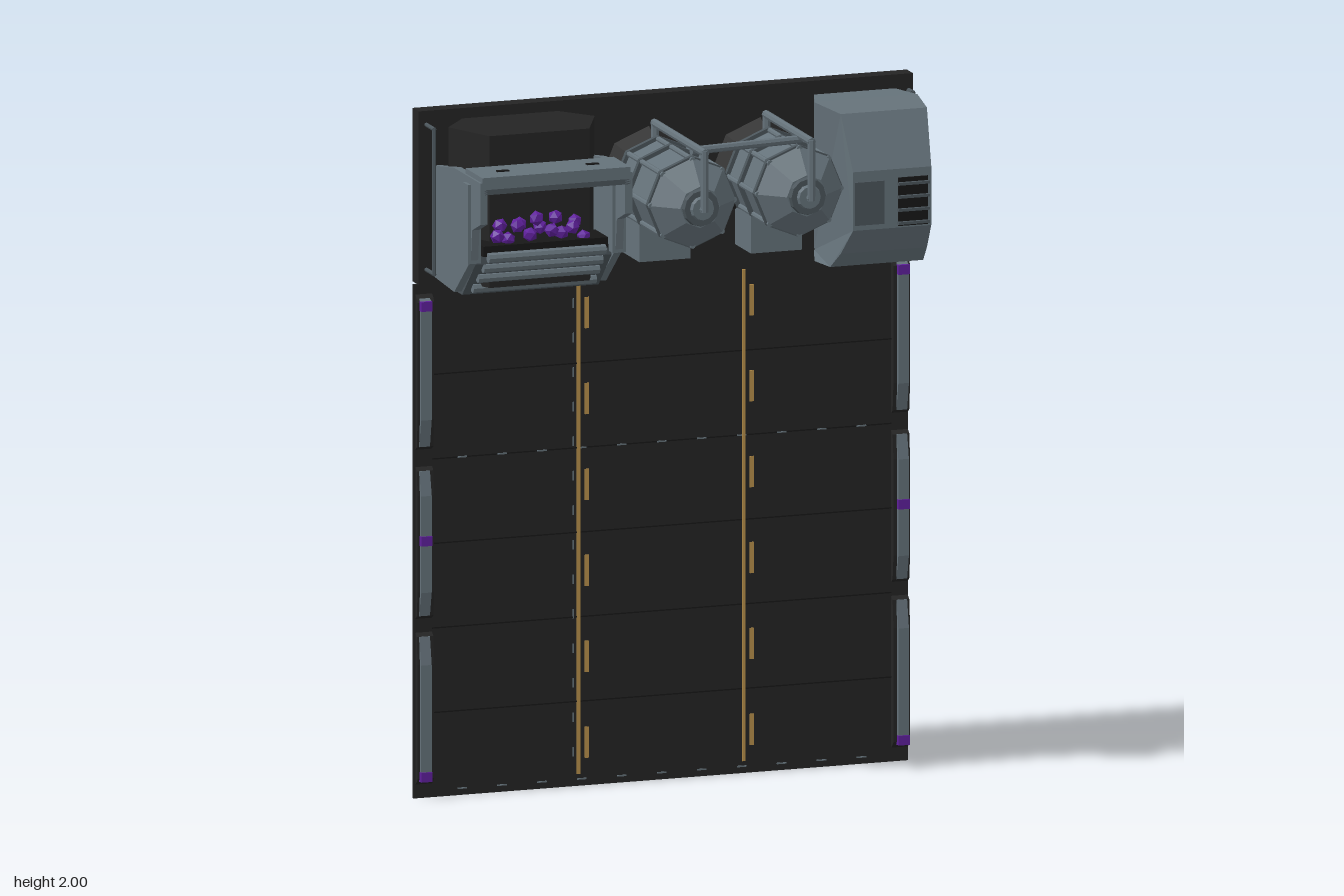
import * as THREE from 'three';

export function createModel() {
  const root = new THREE.Group();
  const mat = (name, color) => {
    const m = new THREE.MeshStandardMaterial({ color });
    m.name = name;
    return m;
  };
  const dark = mat('charcoal', 0x242424);
  const seam = mat('seam black', 0x171717);
  const steel = mat('steel grey', 0x65727a);
  const slate = mat('slate grey', 0x4b555b);
  const gold = mat('gold paint', 0xb8904a);
  const purple = mat('purple glow', 0x5f209c);

  const add = (name, geo, m, parent = root) => {
    const mesh = new THREE.Mesh(geo.index ? geo.toNonIndexed() : geo, m);
    mesh.geometry.computeVertexNormals();
    mesh.name = name;
    parent.add(mesh);
    return mesh;
  };
  // box given by its limits on each axis
  const box = (name, m, x0, x1, y0, y1, z0, z1, parent = root) => {
    const g = new THREE.BoxGeometry(x1 - x0, y1 - y0, z1 - z0);
    g.translate((x0 + x1) / 2, (y0 + y1) / 2, (z0 + z1) / 2);
    return add(name, g, m, parent);
  };
  // side outline of [z, y] points extruded across x
  const sideProfile = (pts, x, w) => {
    const shape = new THREE.Shape(pts.map(p => new THREE.Vector2(p[0], p[1])));
    const g = new THREE.ExtrudeGeometry(shape, { depth: w, bevelEnabled: false });
    g.rotateY(-Math.PI / 2);
    g.translate(x + w / 2, 0, 0);
    return g;
  };
  // faceted drum along z, radius r0 at the back and r1 at the front
  const drum = (name, m, x, y, z0, z1, r0, r1, parent, sides = 8) => {
    const g = new THREE.CylinderGeometry(r1, r0, z1 - z0, sides);
    g.rotateX(Math.PI / 2);
    g.translate(x, y, (z0 + z1) / 2);
    return add(name, g, m, parent);
  };
  // round pipe through straight runs
  const pipe = (name, m, pts, r, parent) => {
    const path = new THREE.CurvePath();
    const v = pts.map(p => new THREE.Vector3(...p));
    for (let i = 1; i < v.length; i++) {
      const a = v[i - 1], b = v[i], len = a.distanceTo(b);
      const g = new THREE.CylinderGeometry(r, r, len + r, 8);
      const mesh = add(name, g, m, parent);
      mesh.position.copy(a).lerp(b, 0.5);
      mesh.quaternion.setFromUnitVectors(new THREE.Vector3(0, 1, 0), b.clone().sub(a).normalize());
    }
  };

  // main panels
  const F = -0.257; // front face of the floor panel
  box('floorPanel', dark, -0.745, 0.74, 0, 1.489, -0.265, F);
  box('headPanel', dark, -0.745, 0.74, 1.497, 2, -0.265, -0.215);

  // floor markings
  const marks = new THREE.Group();
  marks.name = 'floorMarkings';
  root.add(marks);
  for (let i = 1; i < 6; i++) {
    const y = i * 0.245;
    box('panelSeam', seam, -0.69, 0.69, y - 0.002, y + 0.002, F, F + 0.001, marks);
  }
  for (const [x, dx] of [[-0.25, -0.225], [0.246, 0.27]]) {
    box('laneLine', gold, x - 0.005, x + 0.005, 0.035, 1.46, F, F + 0.004, marks);
    for (let i = 0; i < 6; i++) {
      const y = 0.125 + i * 0.249;
      box('laneDash', gold, dx - 0.006, dx + 0.006, y - 0.045, y + 0.045, F, F + 0.004, marks);
    }
  }
  for (const y of [0.02, 0.98])
    for (let x = -0.6; x < 0.65; x += 0.12)
      box('greyDash', steel, x - 0.014, x + 0.014, y - 0.002, y + 0.002, F, F + 0.003, marks);
  for (let y = 0.1; y < 1.45; y += 0.1)
    box('greyDash', steel, -0.267, -0.264, y - 0.014, y + 0.014, F, F + 0.003, marks);

  // side rails with sloped ends and glowing lamps
  for (const s of [-1, 1]) {
    const side = new THREE.Group();
    side.name = s > 0 ? 'leftRails' : 'rightRails';
    root.add(side);
    const rails = [[0.05, 0.47, 0.01, 0.08], [0.53, 0.95, 0.07, 0.07], [1.02, 1.45, 0.08, 0.01]];
    for (const [y0, y1, a, b] of rails) {
      add('railBase', sideProfile([[F, y0 - 0.01], [F, y1 + 0.01], [-0.245, y1], [-0.238, y1 - b],
        [-0.238, y0 + a], [-0.245, y0]], s * 0.715, 0.05), dark, side);
      add('railCap', sideProfile([[-0.25, y0], [-0.25, y1], [-0.243, y1], [-0.228, y1 - b],
        [-0.228, y0 + a], [-0.243, y0]], s * 0.717, 0.032), steel, side);
    }
    for (const y of [0.066, 0.75, 1.43])
      box('railLamp', purple, s * 0.717 - 0.017, s * 0.717 + 0.017, y - 0.014, y + 0.014, -0.25, -0.223, side);
  }

  // crystal hopper
  const hopper = new THREE.Group();
  hopper.name = 'hopper';
  root.add(hopper);
  const hex = new THREE.Shape([[-0.61, 0.22], [-0.33, 0.22], [-0.25, 0.12], [-0.32, -0.03],
    [-0.62, -0.03], [-0.69, 0.12]].map(p => new THREE.Vector2(...p)));
  const bin = new THREE.ExtrudeGeometry(hex, { depth: 0.44, bevelEnabled: false });
  bin.rotateX(-Math.PI / 2);
  bin.translate(0, 1.53, 0);
  add('hopperBin', bin, dark, hopper);
  const cheek = [[-0.215, 1.52], [-0.04, 1.51], [0.1, 1.63], [0.11, 1.72], [0.18, 1.75],
    [0.18, 1.87], [-0.04, 1.87], [-0.215, 1.84]];
  for (const x of [-0.69, -0.255]) {
    add('hopperCheek', sideProfile(cheek, x, 0.022), steel, hopper);
    box('hopperPost', steel, x - 0.02, x + 0.02, 1.62, 1.85, 0.06, 0.1, hopper);
  }
  box('hopperHood', steel, -0.695, -0.25, 1.85, 1.885, 0.04, 0.18, hopper);
  box('hoodLip', slate, -0.695, -0.25, 1.835, 1.85, 0.155, 0.18, hopper);
  for (const x of [-0.61, -0.34])
    box('hoodSlot', seam, x - 0.018, x + 0.018, 1.885, 1.888, 0.105, 0.12, hopper);
  add('hopperChute', sideProfile([[-0.2, 1.5], [-0.04, 1.5], [0.07, 1.61], [0.07, 1.64], [-0.2, 1.64]],
    -0.472, 0.41), slate, hopper);
  for (let i = 0; i < 4; i++) {
    const y = 1.525 + i * 0.036;
    pipe('chuteBar', steel, [[-0.65 + i * 0.003, y, -0.01 + i * 0.036], [-0.295 - i * 0.003, y, -0.01 + i * 0.036]], 0.015, hopper);
  }
  box('crystalBed', seam, -0.66, -0.285, 1.635, 1.665, -0.02, 0.09, hopper);
  for (let i = 0; i < 14; i++) {
    const c = add('crystal', new THREE.IcosahedronGeometry(0.022, 0), purple, hopper);
    c.position.set(-0.615 + i * 0.0205, 1.69 + 0.024 * Math.sin(i * 2.3) + 0.018 * Math.sin(i * 0.25),
      0.06 + 0.022 * Math.cos(i * 2.3));
    c.rotation.set(i, i * 1.7, i * 0.6);
  }
  pipe('rightHandle', slate, [[-0.722, 1.96, -0.215], [-0.722, 1.96, -0.15], [-0.722, 1.54, -0.15], [-0.722, 1.54, -0.215]], 0.006, hopper);

  // twin pressure drums with overhead pipes
  for (const [x, front] of [[-0.053, 0.15], [0.282, 0.11]]) {
    const g = new THREE.Group();
    g.name = 'pressureDrum';
    root.add(g);
    const y = 1.76;
    drum('drumMount', dark, x, y, -0.217, -0.14, 0.148, 0.105, g);
    drum('drumBody', steel, x, y, -0.15, front, 0.122, 0.122, g);
    for (const z of [-0.15, -0.04, front - 0.02])
      drum('drumBand', slate, x, y, z, z + 0.015, 0.134, 0.134, g);
    for (let i = 0; i < 8; i++) {
      const a = i * Math.PI / 4, px = x + 0.125 * Math.cos(a), py = y + 0.125 * Math.sin(a);
      pipe('drumRib', steel, [[px, py, -0.145], [px, py, front]], 0.008, g);
    }
    drum('drumNose', steel, x, y, front, front + 0.065, 0.13, 0.06, g);
    drum('noseStep', slate, x, y, front + 0.065, front + 0.08, 0.055, 0.052, g, 12);
    drum('noseCap', steel, x, y, front + 0.08, front + 0.092, 0.036, 0.032, g, 12);
    pipe('feedPipe', steel, [[x, y, front + 0.08], [x, y, front + 0.102], [x, 1.925, front + 0.102], [x, 1.925, -0.165]], 0.012, g);
    pipe('feedReturn', steel, [[x, 1.925, -0.165], [x, 1.86, -0.165]], 0.012, g);
    box('drumFoot', steel, x - 0.077, x + 0.077, 1.545, 1.66, -0.217, -0.08, g);
    box('footSlot', seam, x - 0.035, x + 0.035, 1.627, 1.637, -0.08, -0.077, g);
  }
  pipe('crossPipe', steel, [[-0.053, 1.912, 0.155], [0.282, 1.912, 0.115]], 0.012, root);

  // generator housing, its width swelling with depth
  const gen = new THREE.Group();
  gen.name = 'generator';
  root.add(gen);
  const shell = sideProfile([[-0.217, 1.51], [-0.12, 1.5], [-0.03, 1.5], [0.03, 1.55], [0.1, 1.63], [0.1, 1.8],
    [0.03, 1.955], [-0.12, 1.96], [-0.217, 1.96]], 0, 2);
  const p = shell.attributes.position;
  for (let i = 0; i < p.count; i++) {
    const z = p.getZ(i);
    const half = z < -0.12 ? 0.155 + (z + 0.12) * 0.35 : 0.155 - (z + 0.12) * 0.17;
    p.setX(i, 0.565 + Math.sign(p.getX(i)) * half);
  }
  add('generatorShell', shell, steel, gen);
  box('accessDoor', slate, 0.452, 0.54, 1.645, 1.77, 0.1, 0.105, gen);
  box('grille', seam, 0.582, 0.672, 1.635, 1.775, 0.1, 0.104, gen);
  for (let i = 0; i < 4; i++)
    box('louvre', slate, 0.58, 0.674, 1.64 + i * 0.038, 1.648 + i * 0.038, 0.1, 0.114, gen);
  for (let i = 0; i < 3; i++) {
    const y = 1.67 + i * 0.05;
    pipe('sidePipe', slate, [[0.712, y, -0.02], [0.722, y, -0.12], [0.712, y, -0.19]], 0.011, gen);
  }
  pipe('leftHandle', slate, [[0.728, 1.95, -0.215], [0.728, 1.95, -0.185], [0.728, 1.6, -0.185], [0.728, 1.6, -0.215]], 0.008, gen);

  return root;
}
